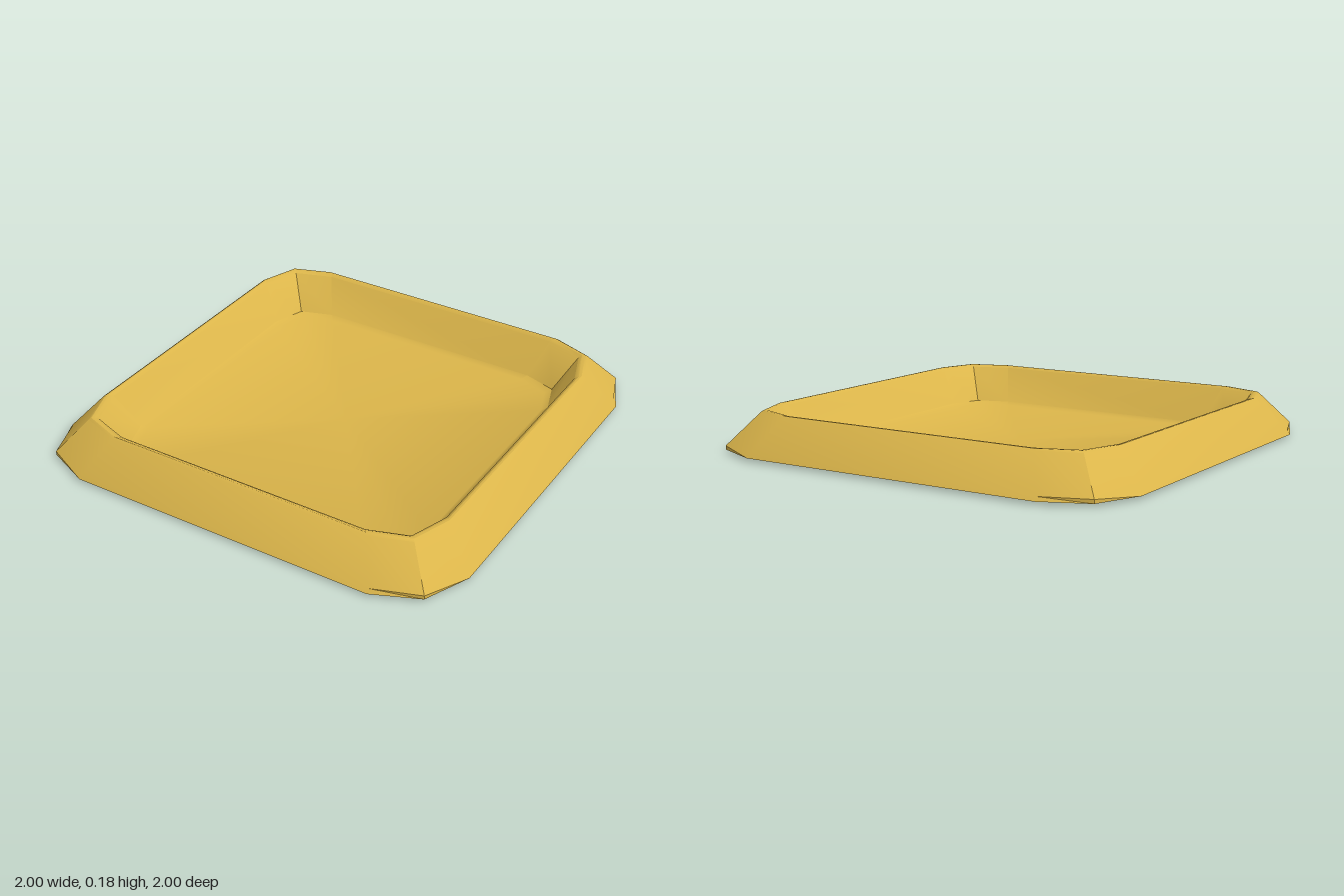
import * as THREE from 'three';
import { toCreasedNormals } from 'three/addons/utils/BufferGeometryUtils.js';

// Cross-section from floor edge, over the rim, to the foot of the skirt:
// [height, side distance, half length of straight side, corner distance]
const SECTION = [
  [0.0, 0.715, 0.52, 0.665],
  [0.014, 0.74, 0.54, 0.69],
  [0.17, 0.832, 0.6, 0.773],
  [0.179, 0.847, 0.61, 0.785],
  [0.179, 0.857, 0.62, 0.795],
  [0.172, 0.867, 0.625, 0.803],
  [0.03, 0.987, 0.705, 0.912],
  [0.013, 1.0, 0.71, 0.912],
];

// Twelve-point square outline with bevelled corners
function ring([y, side, half, corner]) {
  const points = [];
  for (let q = 0; q < 4; q++) {
    for (let [x, z] of [[side, half], [corner, corner], [half, side]]) {
      for (let k = 0; k < q; k++) [x, z] = [-z, x];
      points.push(new THREE.Vector3(x, y, z));
    }
  }
  return points;
}

function shellGeometry(rings) {
  const corners = [];
  const n = rings[0].length;
  const centre = new THREE.Vector3(0, rings[0][0].y, 0);
  for (let i = 0; i < n; i++) {
    const j = (i + 1) % n;
    // floor
    corners.push(centre, rings[0][j], rings[0][i]);
    // walls, rim and skirt
    for (let r = 0; r < rings.length - 1; r++) {
      const a = rings[r], b = rings[r + 1];
      corners.push(a[i], a[j], b[i], a[j], b[j], b[i]);
    }
  }
  const geometry = new THREE.BufferGeometry().setFromPoints(corners);
  return toCreasedNormals(geometry, 0.53);
}

export function createModel() {
  const group = new THREE.Group();
  group.name = 'tray';
  const material = new THREE.MeshStandardMaterial({ color: 0xdbb54a, side: THREE.DoubleSide });
  const shell = new THREE.Mesh(shellGeometry(SECTION.map(ring)), material);
  shell.name = 'trayShell';
  group.add(shell);
  return group;
}
